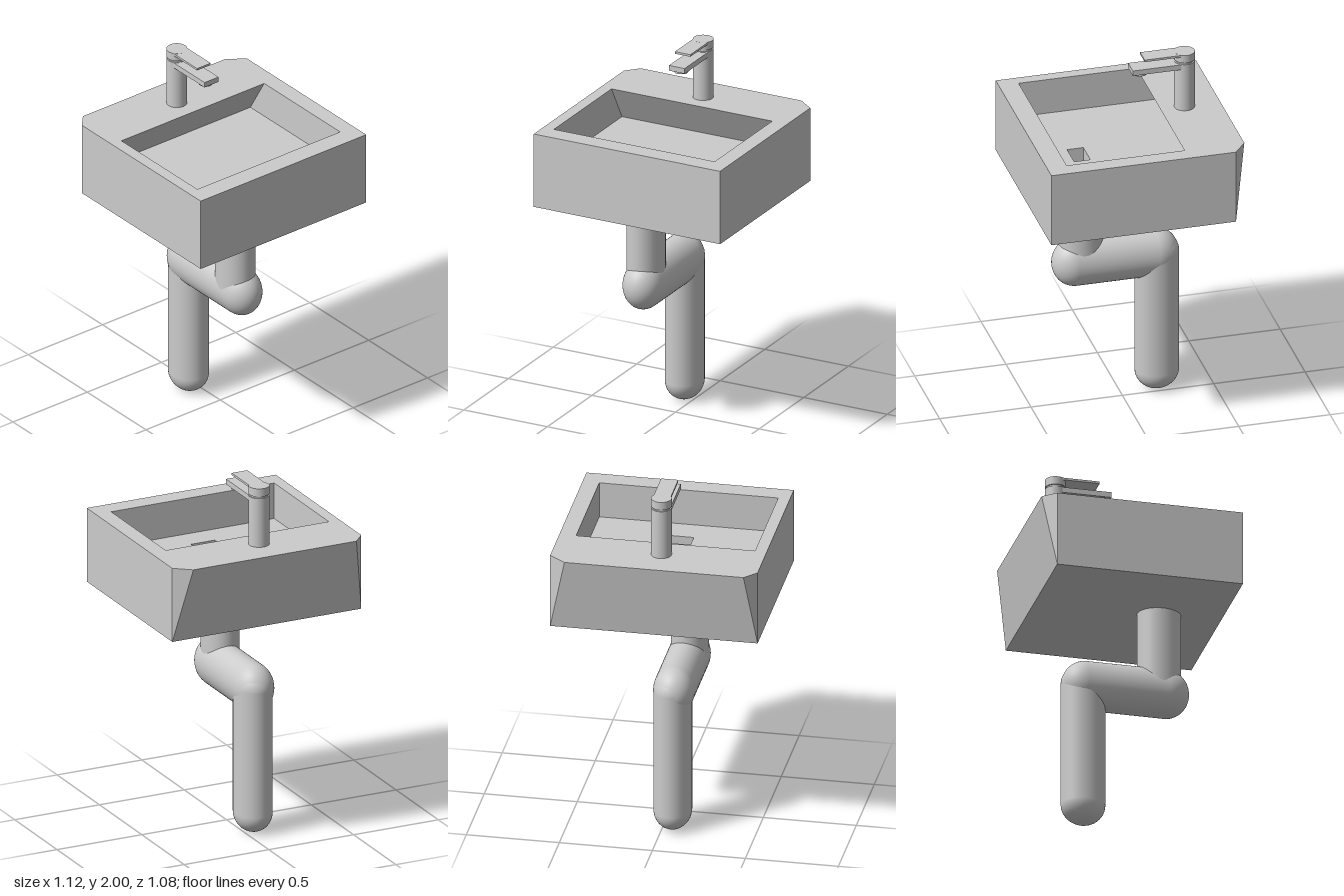
import * as THREE from 'three';

const material = new THREE.MeshStandardMaterial({ color: 0xcccccc });

function add(parent, name, geometry, x = 0, y = 0, z = 0) {
  const mesh = new THREE.Mesh(geometry, material);
  mesh.name = name;
  mesh.position.set(x, y, z);
  parent.add(mesh);
  return mesh;
}

// Walls between two loops of [x, z] corners, counter-clockwise from above.
// Faces point outward when y0 < y1 and inward when y0 > y1.
function walls(loop0, y0, loop1, y1) {
  const p = [];
  loop0.forEach((a, i) => {
    const j = (i + 1) % loop0.length;
    const [b, c, d] = [loop0[j], loop1[j], loop1[i]];
    const A = [a[0], y0, a[1]], B = [b[0], y0, b[1]];
    const C = [c[0], y1, c[1]], D = [d[0], y1, d[1]];
    p.push(...A, ...B, ...C, ...A, ...C, ...D);
  });
  const g = new THREE.BufferGeometry();
  g.setAttribute('position', new THREE.Float32BufferAttribute(p, 3));
  g.computeVertexNormals();
  return g;
}

// Horizontal plate from a loop, with an optional hole.
function plate(loop, hole, down = false) {
  const s = down ? 1 : -1;
  const points = (l) => l.map(([x, z]) => new THREE.Vector2(x, s * z));
  const shape = new THREE.Shape(points(loop));
  if (hole) shape.holes.push(new THREE.Path(points(hole)));
  return new THREE.ShapeGeometry(shape).rotateX(s * Math.PI / 2);
}

const rect = (x0, x1, z0, z1) => [[x0, z1], [x1, z1], [x1, z0], [x0, z0]];

function createBasin() {
  const basin = new THREE.Group();
  basin.name = 'basin';
  const top = 1.67, bottom = 1.255, floorY = 1.47, drainY = 1.37;

  // The rim has clipped rear corners that taper to a plain rectangle below.
  const rim = [[-0.56, 0.54], [0.555, 0.54], [0.555, -0.47],
    [0.465, -0.54], [-0.497, -0.54], [-0.56, -0.47]];
  const base = [[-0.56, 0.54], [0.555, 0.54], [0.555, -0.47],
    [0.555, -0.47], [-0.56, -0.47], [-0.56, -0.47]];
  const opening = rect(-0.497, 0.465, -0.213, 0.432);
  const floor = rect(-0.497, 0.465, -0.33, 0.432); // undercut at the back
  const drain = rect(-0.072, 0.069, 0.194, 0.283);

  add(basin, 'basinOuterWalls', walls(base, bottom, rim, top));
  add(basin, 'basinDeck', plate(rim, opening), 0, top);
  add(basin, 'basinUnderside', plate(rect(-0.56, 0.555, -0.47, 0.54), null, true), 0, bottom);
  add(basin, 'bowlWalls', walls(opening, top, floor, floorY));
  add(basin, 'bowlFloor', plate(floor, drain), 0, floorY);
  add(basin, 'drainWalls', walls(drain, floorY, drain, drainY));
  add(basin, 'drainFloor', plate(drain), 0, drainY);
  return basin;
}

function createFaucet() {
  const faucet = new THREE.Group();
  faucet.name = 'faucet';
  faucet.position.set(-0.019, 0, -0.345);
  const cylinder = (name, r, y0, y1) =>
    add(faucet, name, new THREE.CylinderGeometry(r, r, y1 - y0, 40), 0, (y0 + y1) / 2, 0);

  cylinder('faucetBody', 0.055, 1.66, 1.945);
  cylinder('faucetNeck', 0.048, 1.94, 1.96);
  cylinder('faucetCap', 0.055, 1.955, 2);
  add(faucet, 'spout', new THREE.BoxGeometry(0.094, 0.03, 0.29), 0, 1.929, 0.15);
  add(faucet, 'aerator', new THREE.CylinderGeometry(0.038, 0.038, 0.016, 32), 0, 1.908, 0.245);
  add(faucet, 'lever', new THREE.BoxGeometry(0.092, 0.012, 0.225), 0, 1.9935, 0.1175);
  return faucet;
}

function createWastePipe() {
  const pipe = new THREE.Group();
  pipe.name = 'wastePipe';
  // Round-ended tube spanning y0..y1, squashed to an oval section.
  const capsule = (rx, rz, length) =>
    new THREE.CapsuleGeometry(1, length - 2, 12, 40).scale(rx, 1, rz);

  const upper = new THREE.CylinderGeometry(1, 1, 0.46, 40, 1, true).scale(0.1, 1, 0.118);
  add(pipe, 'upperPipe', upper, -0.065, 1.03, 0.208);

  const cap = 0.125;
  const horizontal = capsule(0.11, 0.135, 0.69 / cap).scale(1, cap, 1).rotateX(Math.PI / 2);
  add(pipe, 'horizontalPipe', horizontal, -0.058, 0.805, 0.025);

  const lowerCap = 0.11;
  const lower = capsule(0.102, 0.119, 0.92 / lowerCap).scale(1, lowerCap, 1);
  add(pipe, 'lowerPipe', lower, -0.053, 0.46, -0.203);
  return pipe;
}

export function createModel() {
  const model = new THREE.Group();
  model.name = 'washbasin';
  model.add(createBasin(), createFaucet(), createWastePipe());
  return model;
}
